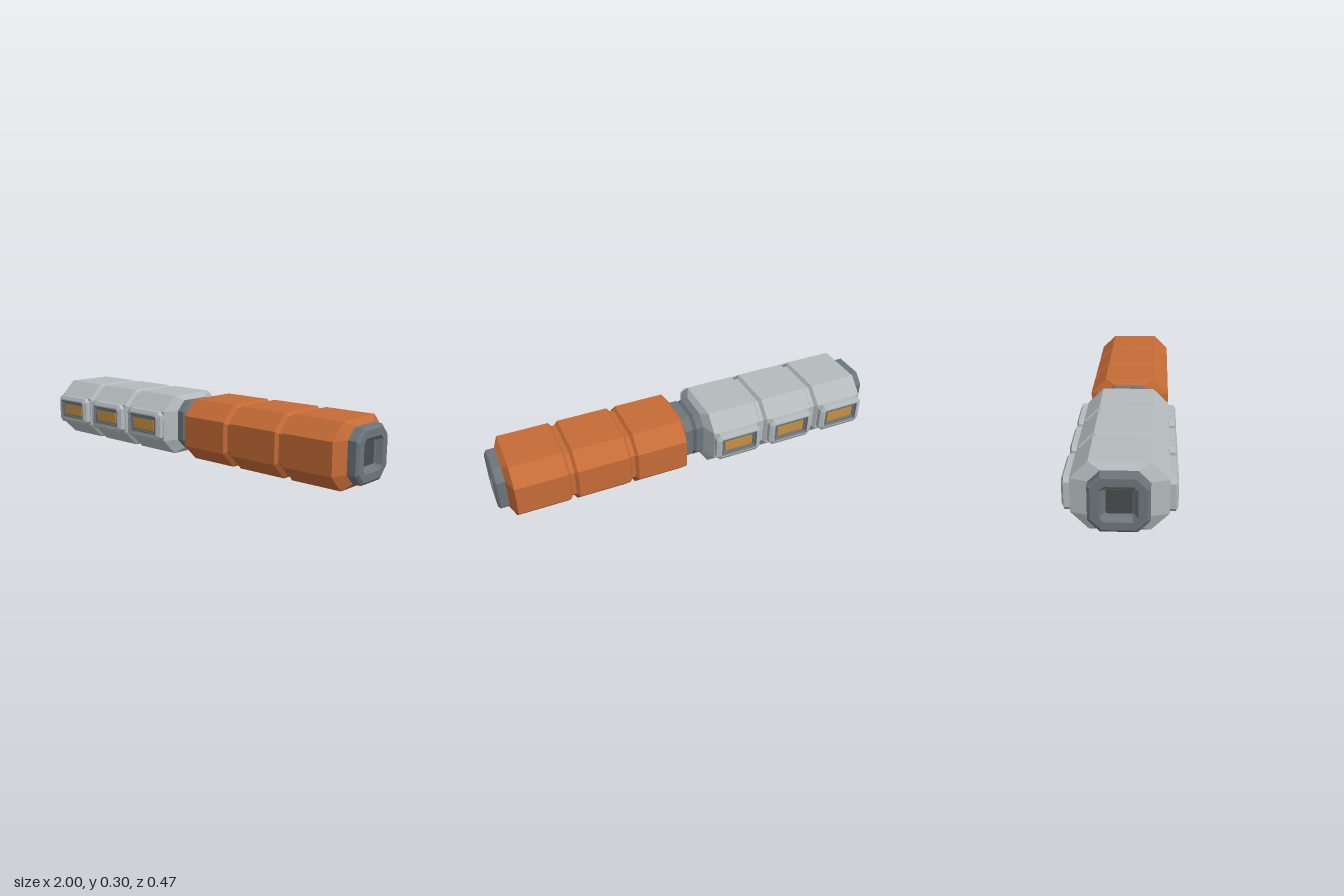
import * as THREE from 'three';

const material = (name, color) => {
  const m = new THREE.MeshStandardMaterial({ color });
  m.name = name;
  return m;
};

// Eight corners of a chamfered rectangle, counter-clockwise seen from +z
function ring([z, w, h, c]) {
  return [
    [w, -h + c], [w, h - c], [w - c, h], [-w + c, h],
    [-w, h - c], [-w, -h + c], [-w + c, -h], [w - c, -h],
  ].map(([x, y]) => [x, y, z]);
}

// Faceted skin through sections [z, halfWidth, halfHeight, chamfer]
function loft(sections, cap = false) {
  const rings = sections.map(ring);
  const pos = [];
  const tri = (a, b, c) => pos.push(...a, ...b, ...c);
  for (let s = 0; s < rings.length - 1; s++) {
    const a = rings[s], b = rings[s + 1];
    for (let i = 0; i < 8; i++) {
      const j = (i + 1) % 8;
      tri(a[i], a[j], b[j]);
      tri(a[i], b[j], b[i]);
    }
  }
  if (cap) {
    const last = rings[rings.length - 1];
    for (let i = 1; i < 7; i++) tri(last[0], last[i], last[i + 1]);
  }
  const geo = new THREE.BufferGeometry();
  geo.setAttribute('position', new THREE.Float32BufferAttribute(pos, 3));
  geo.computeVertexNormals();
  return geo;
}

export function createModel() {
  const grey = material('light grey hull', 0xb3bbbd);
  const orange = material('orange hull', 0xc66c36);
  const steel = material('dark steel', 0x6c757b);
  const dark = material('dark hatch', 0x484c50);
  const amber = material('amber glass', 0xc8913f);

  const model = new THREE.Group();
  model.name = 'stationModules';
  const add = (parent, name, geo, mat) => {
    const mesh = new THREE.Mesh(geo, mat);
    mesh.name = name;
    parent.add(mesh);
    return mesh;
  };

  // Two long octagonal hulls, each with tapered ends and two grooves
  const outer = [0.2, 0.15, 0.075], groove = [0.185, 0.135, 0.07], neck = [0.125, 0.124, 0.05];
  const hullSections = [[-0.45, ...neck], [-0.425, ...outer]];
  for (const g of [-0.15, 0.15]) {
    hullSections.push([g - 0.023, ...outer], [g - 0.01, ...groove],
      [g + 0.01, ...groove], [g + 0.023, ...outer]);
  }
  hullSections.push([0.425, ...outer], [0.45, ...neck]);
  const hullGeo = loft(hullSections).rotateY(Math.PI / 2);
  add(model, 'rightHull', hullGeo, grey).position.set(-0.5, 0.15, 0);
  add(model, 'leftHull', hullGeo, orange).position.set(0.5, 0.15, 0);

  // Docking collar between the hulls, with a notch at the joint
  add(model, 'middleCollar', loft([
    [-0.06, ...neck], [-0.012, ...neck], [0, 0.113, 0.112, 0.046],
    [0.012, ...neck], [0.06, ...neck],
  ]).rotateY(Math.PI / 2), steel).position.y = 0.15;

  // Docking ports at both ends, with a sloping recess and a hatch
  const portGeo = loft([
    [0.94, ...neck], [0.99, ...neck], [1, 0.113, 0.112, 0.046],
    [1, 0.077, 0.077, 0.018], [0.975, 0.062, 0.062, 0.01], [0.965, 0.05, 0.05, 0.002],
  ], true);
  for (const side of [1, -1]) {
    const port = new THREE.Group();
    port.name = side > 0 ? 'leftPort' : 'rightPort';
    port.rotation.y = side * Math.PI / 2;
    port.position.y = 0.15;
    add(port, 'collar', portGeo, steel);
    add(port, 'hatch', new THREE.BoxGeometry(0.104, 0.104, 0.008), dark).position.z = 0.968;
    model.add(port);
  }

  // Window frames on both long sides of the grey hull
  const frameGeo = loft([
    [0.195, 0.123, 0.075, 0.02], [0.225, 0.123, 0.075, 0.02],
    [0.235, 0.104, 0.057, 0.012], [0.235, 0.097, 0.05, 0.004],
  ]);
  const recessGeo = loft([
    [0.235, 0.097, 0.05, 0.004], [0.226, 0.091, 0.044, 0.002], [0.226, 0.084, 0.037, 0.002],
    [0.222, 0.082, 0.035, 0.002],
  ], true);
  for (const side of [1, -1]) {
    for (const x of [-0.8, -0.5, -0.2]) {
      const win = new THREE.Group();
      win.name = 'window';
      win.position.set(x, 0.15, 0);
      if (side < 0) win.rotation.y = Math.PI;
      add(win, 'windowFrame', frameGeo, grey);
      add(win, 'windowRecess', recessGeo, steel);
      add(win, 'windowGlass', new THREE.BoxGeometry(0.15, 0.054, 0.006), amber).position.z = 0.223;
      model.add(win);
    }
  }
  return model;
}
